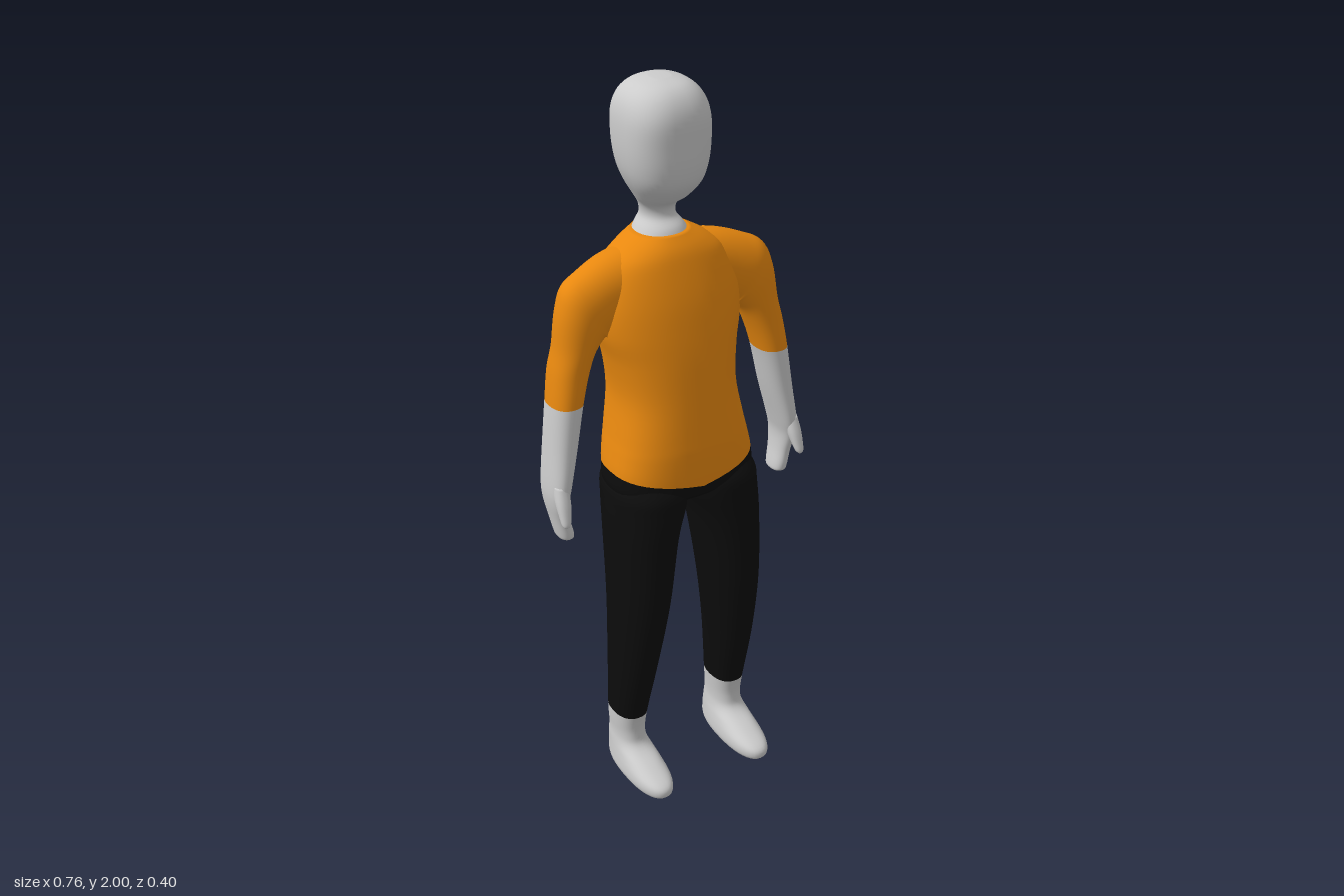
import * as THREE from 'three';

const SKIN = 0xcccccc, SHIRT = 0xe8880f, PANTS = 0x0c0c0c;
const SEG = 40; // points around a cross-section
const SUB = 5;  // smooth steps between two given cross-sections

// Cross-section: [x, y, z, half width, half depth, tilt in degrees, squareness, dip at the middle]
const tilted = (x, y, w, z, d, tilt) => [x, y, z, w, d, tilt, 2.1, 0];
// Level cross-section from its extents
const level = (y, x0, x1, z0, z1, e = 2.3, dip = 0) =>
  [(x0 + x1) / 2, y, (z0 + z1) / 2, (x1 - x0) / 2, (z1 - z0) / 2, 0, e, dip];

const spline = (a, b, c, d, t) =>
  0.5 * (2 * b + (c - a) * t + (2 * a - 5 * b + 4 * c - d) * t * t + (3 * b - a - 3 * c + d) * t * t * t);

function smoothRings(rings) {
  const out = [], last = rings.length - 1;
  for (let k = 0; k < last; k++) {
    for (let s = 0; s < SUB; s++) {
      out.push(rings[k].map((v, p) => spline(
        rings[Math.max(k - 1, 0)][p], v, rings[k + 1][p], rings[Math.min(k + 2, last)][p], s / SUB)));
    }
  }
  out.push(rings[last]);
  return out;
}

// Closed smooth skin through the cross-sections, cut into coloured parts [name, color, endRing]
function addLoft(group, rings, parts, side = 1) {
  const all = smoothRings(rings), n = all.length, pos = [], bands = [];
  const signedPow = (v, p) => Math.sign(v) * Math.pow(Math.abs(v), p);
  for (const [x, y, z, w, d, tilt, e, dip] of all) {
    const a = THREE.MathUtils.degToRad(tilt);
    for (let i = 0; i < SEG; i++) {
      const t = (i / SEG) * Math.PI * 2;
      const u = signedPow(Math.cos(t), 2 / e), v = signedPow(Math.sin(t), 2 / e);
      pos.push(side * (x + u * w * Math.cos(a)), y + u * w * Math.sin(a) - dip * (1 - Math.abs(u)), z + v * d);
    }
  }
  for (const r of [all[0], all[n - 1]]) pos.push(side * r[0], r[1], r[2]);
  const tri = (list, a, b, c) => (side > 0 ? list.push(a, b, c) : list.push(a, c, b));
  for (let j = 0; j < n - 1; j++) {
    const band = [];
    for (let i = 0; i < SEG; i++) {
      const i1 = (i + 1) % SEG, a = j * SEG + i, b = j * SEG + i1;
      tri(band, a, b, a + SEG);
      tri(band, b, b + SEG, a + SEG);
      if (j === 0) tri(band, n * SEG, i1, i);
      if (j === n - 2) tri(band, n * SEG + 1, a + SEG, b + SEG);
    }
    bands.push(band);
  }
  const whole = new THREE.BufferGeometry();
  whole.setAttribute('position', new THREE.Float32BufferAttribute(pos, 3));
  whole.setIndex(bands.flat());
  whole.computeVertexNormals();
  let from = 0;
  for (const [name, color, endRing] of parts) {
    const to = endRing === undefined ? n - 1 : endRing * SUB;
    const geo = whole.clone();
    geo.setIndex(bands.slice(from, to).flat());
    const mesh = new THREE.Mesh(geo, new THREE.MeshStandardMaterial({ color }));
    mesh.name = name;
    group.add(mesh);
    from = to;
  }
}

const mid = (y, w, z0, z1, e, dip) => level(y, -w, w, z0, z1, e, dip);

// Crown down to the base of the neck
const headRings = [
  mid(2.0, 0.025, -0.11, -0.06), mid(1.988, 0.066, -0.155, -0.012), mid(1.96, 0.097, -0.187, 0.018, 2.4),
  mid(1.915, 0.112, -0.2, 0.034, 2.6), mid(1.85, 0.114, -0.198, 0.036, 2.6), mid(1.79, 0.107, -0.19, 0.034, 2.5),
  mid(1.745, 0.092, -0.175, 0.022, 2.4), mid(1.705, 0.069, -0.157, -0.012, 2.2), mid(1.675, 0.05, -0.147, -0.052, 2.1),
  mid(1.645, 0.046, -0.148, -0.055, 2.1), mid(1.62, 0.062, -0.158, -0.03, 2.1), mid(1.59, 0.08, -0.16, -0.015, 2.1),
];

// Collar down to the crotch
const trunkRings = [
  mid(1.61, 0.073, -0.162, -0.018, 2.1), mid(1.58, 0.125, -0.172, 0.008, 2.2), mid(1.54, 0.17, -0.178, 0.027, 2.2),
  mid(1.46, 0.198, -0.183, 0.055, 2.2), mid(1.38, 0.198, -0.184, 0.075, 2.3), mid(1.3, 0.178, -0.183, 0.091, 2.4),
  mid(1.2, 0.167, -0.18, 0.106, 2.5), mid(1.1, 0.182, -0.17, 0.12, 2.6), mid(1.05, 0.193, -0.162, 0.126, 2.6),
  mid(0.998, 0.203, -0.151, 0.13, 2.6, 0.038), mid(0.945, 0.203, -0.138, 0.127, 2.5),
  mid(0.915, 0.15, -0.12, 0.105, 2.4), mid(0.9, 0.08, -0.09, 0.07),
];

// Shoulder, sleeve, forearm and hand
const armRings = [
  tilted(0.06, 1.49, 0.1, -0.085, 0.082, 90), tilted(0.15, 1.478, 0.096, -0.082, 0.077, 84),
  tilted(0.21, 1.455, 0.095, -0.07, 0.07, 70), tilted(0.234, 1.44, 0.095, -0.064, 0.066, 56),
  tilted(0.25, 1.418, 0.077, -0.058, 0.062, 38), tilted(0.271, 1.36, 0.056, -0.054, 0.059, 13),
  level(1.3, 0.24, 0.341, -0.111, 0.007), level(1.22, 0.265, 0.353, -0.103, 0.014),
  level(1.1, 0.292, 0.367, -0.098, 0.022), level(1.0, 0.318, 0.378, -0.09, 0.03),
  level(0.95, 0.328, 0.377, -0.083, 0.024), level(0.9, 0.324, 0.368, -0.072, 0.013),
  level(0.855, 0.314, 0.359, -0.063, 0.012), level(0.838, 0.313, 0.354, -0.058, 0.008), level(0.833, 0.322, 0.346, -0.042, -0.006),
];

const thumbRings = [
  level(1.01, 0.335, 0.372, -0.02, 0.026), level(0.97, 0.337, 0.376, 0.0, 0.042), level(0.935, 0.344, 0.375, 0.022, 0.052),
  level(0.915, 0.35, 0.373, 0.034, 0.056), level(0.907, 0.357, 0.368, 0.042, 0.053),
];

// Hip to ankle, then the foot
const legRings = [
  level(0.975, 0.03, 0.185, -0.12, 0.11), level(0.945, 0.01, 0.207, -0.136, 0.132), level(0.9, 0.009, 0.212, -0.13, 0.137),
  level(0.8, 0.04, 0.215, -0.11, 0.139), level(0.6, 0.07, 0.215, -0.087, 0.136), level(0.4, 0.096, 0.213, -0.08, 0.104),
  level(0.2, 0.114, 0.209, -0.08, 0.056), level(0.13, 0.119, 0.205, -0.08, 0.049), level(0.095, 0.116, 0.208, -0.084, 0.066),
  level(0.07, 0.11, 0.212, -0.088, 0.13), level(0.045, 0.105, 0.216, -0.091, 0.192), level(0.022, 0.104, 0.217, -0.09, 0.203),
  level(0.006, 0.111, 0.21, -0.083, 0.19), level(0.0, 0.13, 0.19, -0.06, 0.15),
];

export function createModel() {
  const model = new THREE.Group();
  model.name = 'standingFigure';
  addLoft(model, headRings, [['headAndNeck', SKIN]]);
  addLoft(model, trunkRings, [['shirt', SHIRT, 9], ['trouserSeat', PANTS]]);
  for (const [label, side] of [['left', 1], ['right', -1]]) {
    const arm = new THREE.Group(), leg = new THREE.Group();
    arm.name = label + 'Arm';
    leg.name = label + 'Leg';
    addLoft(arm, armRings, [[label + 'Sleeve', SHIRT, 7], [label + 'ForearmAndHand', SKIN]], side);
    addLoft(arm, thumbRings, [[label + 'Thumb', SKIN]], side);
    addLoft(leg, legRings, [[label + 'TrouserLeg', PANTS, 6], [label + 'Foot', SKIN]], side);
    model.add(arm, leg);
  }
  return model;
}
